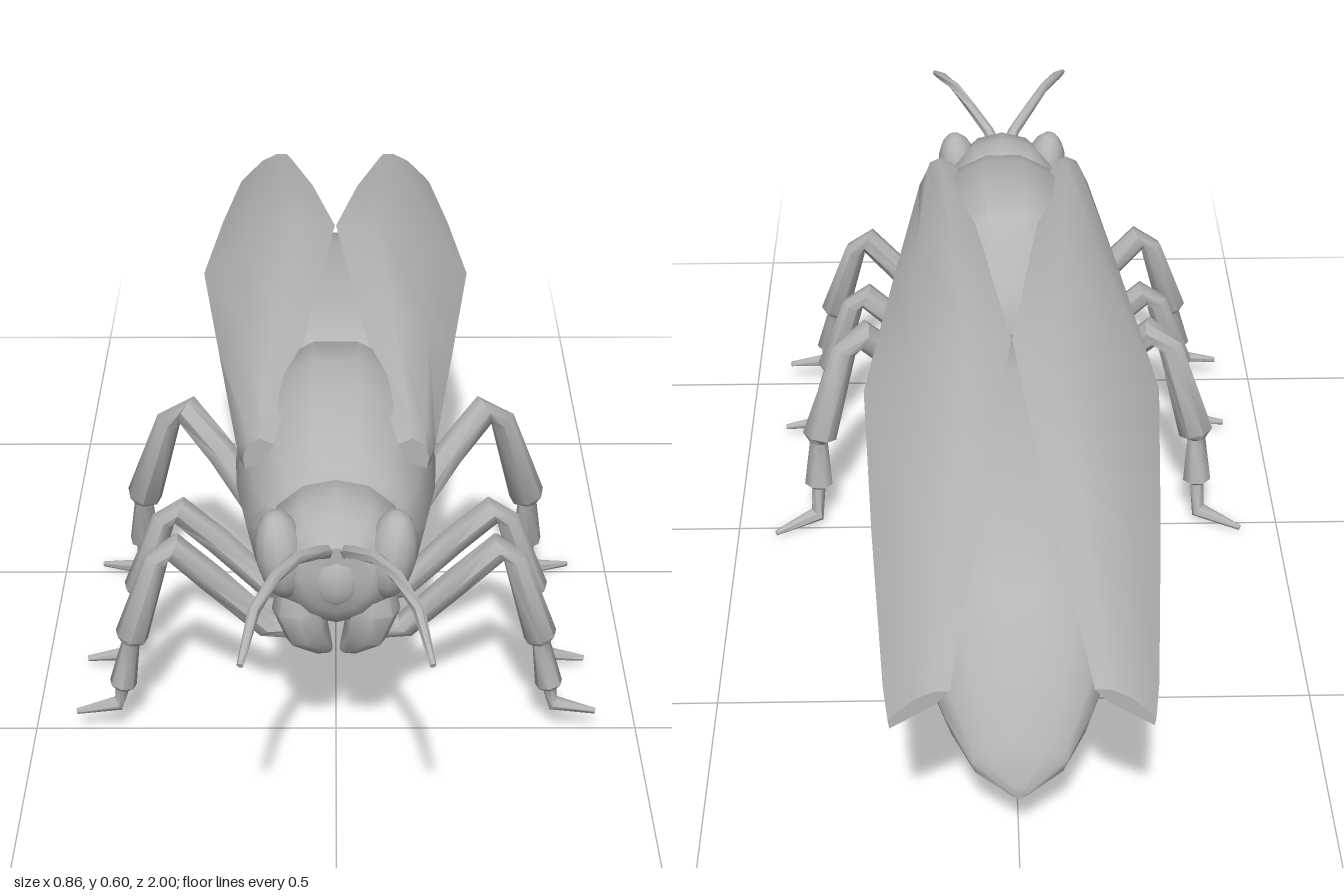
import * as THREE from 'three';
import { toCreasedNormals } from 'three/addons/utils/BufferGeometryUtils.js';

const shell = new THREE.MeshStandardMaterial({ color: 0xb4b4b4 });
shell.name = 'grey shell';

const V = (x, y, z) => new THREE.Vector3(x, y, z);

// Skin a list of rings (counter-clockwise about the direction of travel) and cap both ends
function loft(rings, crease = 0.8) {
  const n = rings[0].length, pos = [], idx = [];
  rings.forEach(r => r.forEach(p => pos.push(p.x, p.y, p.z)));
  for (let i = 0; i < rings.length - 1; i++) {
    for (let j = 0; j < n; j++) {
      const a = i * n + j, b = i * n + (j + 1) % n;
      idx.push(a, b, a + n, b, b + n, a + n);
    }
  }
  [0, rings.length - 1].forEach(i => {
    const c = rings[i].reduce((s, p) => s.add(p), V(0, 0, 0)).divideScalar(n);
    const k = pos.length / 3;
    pos.push(c.x, c.y, c.z);
    for (let j = 0; j < n; j++) {
      const a = i * n + j, b = i * n + (j + 1) % n;
      if (i === 0) idx.push(k, b, a); else idx.push(k, a, b);
    }
  });
  const g = new THREE.BufferGeometry();
  g.setAttribute('position', new THREE.Float32BufferAttribute(pos, 3));
  g.setIndex(idx);
  return toCreasedNormals(g, crease);
}

// Body from [z, half width, top, bottom, height of the widest line] sections, back to front
function body(sections, sides = 14) {
  return loft(sections.map(([z, w, top, bot, mid = (top + bot) / 2]) =>
    Array.from({ length: sides }, (_, j) => {
      const t = j / sides * Math.PI * 2, s = Math.sin(t);
      return V(w * Math.cos(t), mid + s * (s > 0 ? top - mid : mid - bot), z);
    })));
}

// Limb from [x, y, z, radius] joints
function limb(joints, side, sides = 7) {
  const p = joints.map(([x, y, z]) => V(x * side, y, z));
  return loft(p.map((c, i) => {
    const d = p[Math.min(i + 1, p.length - 1)].clone().sub(p[Math.max(i - 1, 0)]).normalize();
    const u = V(0, 0, 1).addScaledVector(d, -d.z);
    if (u.length() < 0.3) u.set(0, 1, 0).addScaledVector(d, -d.y);
    u.normalize();
    const v = d.clone().cross(u);
    return Array.from({ length: sides }, (_, j) => {
      const t = j / sides * Math.PI * 2, r = joints[i][3];
      return c.clone().addScaledVector(u, r * Math.cos(t)).addScaledVector(v, r * Math.sin(t));
    });
  }), 0.9);
}

// Stiff wing case: each section runs outer bottom, outer top, crown, ridge, inner, underside
function wing(side) {
  const sections = [
    [-1.0, [0.19, 0.373], [0.192, 0.388], [0.155, 0.425], [0.125, 0.44], [0.103, 0.44], [0.125, 0.415]],
    [-0.94, [0.198, 0.382], [0.2, 0.4], [0.16, 0.44], [0.12, 0.456], [0.094, 0.455], [0.13, 0.425]],
    [-0.62, [0.214, 0.41], [0.224, 0.445], [0.165, 0.505], [0.098, 0.528], [0.044, 0.522], [0.12, 0.485]],
    [-0.28, [0.222, 0.43], [0.245, 0.485], [0.165, 0.555], [0.075, 0.6], [0.001, 0.582], [0.1, 0.53]],
    [0.08, [0.19, 0.45], [0.202, 0.495], [0.16, 0.55], [0.098, 0.575], [0.045, 0.56], [0.11, 0.52]],
    [0.42, [0.155, 0.475], [0.16, 0.5], [0.145, 0.533], [0.12, 0.547], [0.09, 0.535], [0.12, 0.49]],
    [0.465, [0.145, 0.482], [0.148, 0.5], [0.14, 0.525], [0.12, 0.535], [0.098, 0.525], [0.12, 0.49]],
  ];
  return loft(sections.map(([z, ...pts]) => {
    const ring = pts.map(([x, y]) => V(x * side, y, z));
    return side < 0 ? ring.reverse() : ring;
  }));
}

export function createModel() {
  const model = new THREE.Group();
  model.name = 'insect';
  const add = (name, geometry, parent = model) => {
    const m = new THREE.Mesh(geometry, shell);
    m.name = name;
    parent.add(m);
    return m;
  };
  const ball = (name, center, scale, parent) => {
    const m = add(name, new THREE.SphereGeometry(1, 12, 9), parent);
    m.position.set(...center);
    m.scale.set(...scale);
    return m;
  };

  // Abdomen, waist and thorax
  add('abdomen', body([
    [-0.875, 0.012, 0.145, 0.122], [-0.845, 0.075, 0.2, 0.124, 0.17], [-0.79, 0.115, 0.295, 0.127, 0.22],
    [-0.7, 0.155, 0.39, 0.128, 0.27], [-0.57, 0.19, 0.43, 0.11, 0.3], [-0.4, 0.213, 0.46, 0.122, 0.32],
    [-0.2, 0.212, 0.475, 0.165, 0.34], [-0.06, 0.18, 0.46, 0.21, 0.34], [-0.01, 0.12, 0.42, 0.24, 0.33],
    [0.02, 0.05, 0.36, 0.27],
  ]));
  add('waist', body([[-0.02, 0.045, 0.36, 0.27], [0.04, 0.035, 0.36, 0.29], [0.1, 0.05, 0.38, 0.28]], 8));
  add('thorax', body([
    [0.05, 0.05, 0.41, 0.29], [0.08, 0.115, 0.46, 0.25], [0.18, 0.162, 0.572, 0.2], [0.27, 0.168, 0.582, 0.2],
    [0.37, 0.163, 0.58, 0.205], [0.47, 0.145, 0.54, 0.225], [0.53, 0.12, 0.505, 0.31], [0.55, 0.08, 0.48, 0.35],
  ]));

  // Head
  const head = new THREE.Group();
  head.name = 'head';
  model.add(head);
  add('skull', body([
    [0.525, 0.09, 0.495, 0.345], [0.545, 0.106, 0.505, 0.325], [0.6, 0.108, 0.507, 0.3],
    [0.65, 0.095, 0.495, 0.31], [0.685, 0.055, 0.465, 0.35],
  ], 12), head);
  ball('facePlate', [0, 0.4, 0.66], [0.045, 0.055, 0.035], head);

  // Leg paths from hip to toe
  const legs = {
    front: [[0, 0.225, 0.43, 0.03], [0.08, 0.18, 0.45, 0.027], [0.115, 0.185, 0.46, 0.022], [0.2, 0.28, 0.475, 0.024],
      [0.265, 0.348, 0.483, 0.024], [0.29, 0.325, 0.485, 0.02], [0.335, 0.185, 0.495, 0.028], [0.337, 0.172, 0.495, 0.015],
      [0.352, 0.095, 0.5, 0.023], [0.354, 0.085, 0.5, 0.012], [0.36, 0.058, 0.503, 0.013], [0.43, 0.046, 0.51, 0.005]],
    middle: [[0, 0.215, 0.3, 0.03], [0.08, 0.165, 0.31, 0.027], [0.115, 0.17, 0.315, 0.022], [0.2, 0.26, 0.315, 0.024],
      [0.265, 0.32, 0.315, 0.024], [0.29, 0.3, 0.315, 0.02], [0.335, 0.165, 0.315, 0.028], [0.337, 0.152, 0.315, 0.015],
      [0.352, 0.075, 0.315, 0.023], [0.354, 0.065, 0.315, 0.012], [0.362, 0.032, 0.315, 0.013], [0.43, 0.022, 0.315, 0.005]],
    hind: [[0, 0.21, 0.18, 0.03], [0.08, 0.175, 0.155, 0.027], [0.115, 0.185, 0.145, 0.024], [0.2, 0.31, 0.1, 0.027],
      [0.262, 0.382, 0.07, 0.027], [0.295, 0.355, 0.06, 0.022], [0.345, 0.19, 0.035, 0.032], [0.347, 0.175, 0.035, 0.017],
      [0.35, 0.09, 0.025, 0.026], [0.351, 0.08, 0.025, 0.013], [0.355, 0.025, 0.015, 0.015], [0.43, 0.009, -0.022, 0.005]],
  };

  // Paired parts
  for (const side of [1, -1]) {
    const prefix = side > 0 ? 'left' : 'right';
    add(prefix + 'Wing', wing(side));
    for (const [name, path] of Object.entries(legs)) {
      add(`${prefix}${name[0].toUpperCase()}${name.slice(1)}Leg`, limb(path, side));
    }
    const eye = ball(prefix + 'Eye', [0.085 * side, 0.425, 0.635], [0.04, 0.075, 0.052], head);
    eye.rotation.z = -0.15 * side;
    add(prefix + 'Mandible', limb([[0.055, 0.37, 0.62, 0.035], [0.056, 0.325, 0.625, 0.045],
      [0.046, 0.28, 0.625, 0.036], [0.022, 0.245, 0.612, 0.018], [0.01, 0.232, 0.608, 0.006]], side, 8), head);
    add(prefix + 'Antenna', limb([[0.012, 0.45, 0.67, 0.012], [0.025, 0.47, 0.705, 0.011], [0.06, 0.495, 0.765, 0.01],
      [0.09, 0.505, 0.835, 0.01], [0.118, 0.495, 0.91, 0.009], [0.135, 0.462, 1.0, 0.005]], side, 6), head);
  }
  return model;
}
